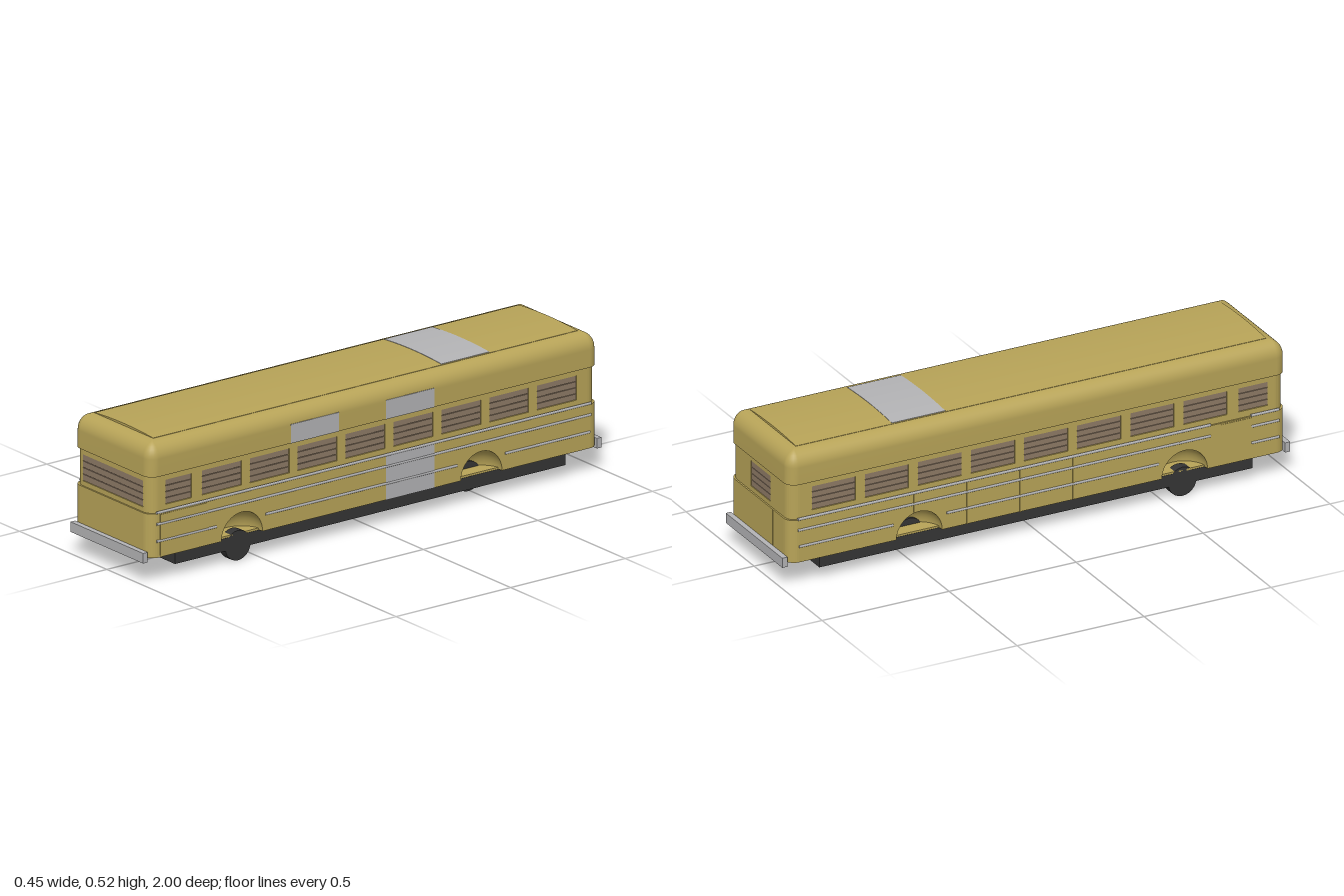
import * as THREE from 'three';

const mat = (name, color, side = THREE.FrontSide) => {
  const m = new THREE.MeshStandardMaterial({ color, side });
  m.name = name;
  return m;
};

export function createModel() {
  const bus = new THREE.Group();
  bus.name = 'bus';
  const paint = mat('mustardPaint', 0xb8a458, THREE.DoubleSide);
  const silver = mat('silverGrey', 0xb4b4b6);
  const slatBrown = mat('slatBrown', 0x8e7a66);
  const black = mat('chassisBlack', 0x353535);

  const add = (name, geo, material, x = 0, y = 0, z = 0, parent = bus) => {
    const m = new THREE.Mesh(geo, material);
    m.name = name;
    m.position.set(x, y, z);
    parent.add(m);
    return m;
  };
  // box given by its min and max on each axis
  const box = (name, material, x0, x1, y0, y1, z0, z1) =>
    add(name, new THREE.BoxGeometry(x1 - x0, y1 - y0, z1 - z0), material,
      (x0 + x1) / 2, (y0 + y1) / 2, (z0 + z1) / 2);

  const HW = 0.22, HL = 0.98, R = 0.04, T = 0.012;
  const BOTTOM = 0.093, BELT = 0.255, EAVE = 0.39;
  const ARCH_R = 0.09, arches = [0.578, -0.467];

  // window spans [z0, z1]: a short front one and eight equal ones
  const windows = [[0.794, 0.908]];
  for (let i = 0; i < 8; i++) windows.push([0.576 - i * 0.209, 0.748 - i * 0.209]);
  const WIN0 = 0.28, WIN1 = 0.37;

  // flat wall with rectangular holes and half-round notches in its lower edge
  function wall(name, half, y0, y1, holes, notches, angle, dist) {
    const s = new THREE.Shape();
    s.moveTo(-half, y0);
    [...notches].sort((a, b) => a - b).forEach(u => {
      s.lineTo(u - ARCH_R, y0);
      s.absarc(u, y0, ARCH_R, Math.PI, 0, true);
    });
    s.lineTo(half, y0);
    s.lineTo(half, y1);
    s.lineTo(-half, y1);
    s.closePath();
    holes.forEach(([a, b, c, d]) => {
      const h = new THREE.Path();
      h.moveTo(a, c); h.lineTo(a, d); h.lineTo(b, d); h.lineTo(b, c);
      h.closePath();
      s.holes.push(h);
    });
    const g = new THREE.ExtrudeGeometry(s, { depth: T, bevelEnabled: false, curveSegments: 20 });
    g.translate(0, 0, dist - T);
    add(name, g, paint).rotation.y = angle;
  }

  // one storey of the body: four walls and four rounded corners
  function storey(name, inset, y0, y1, glazed, notched) {
    const w = HW - inset, l = HL - inset;
    for (const s of [1, -1]) {
      const span = ([a, b]) => s > 0 ? [-b, -a, WIN0, WIN1] : [a, b, WIN0, WIN1];
      wall(name + 'Side', l - R, y0, y1, glazed ? windows.map(span) : [],
        notched ? arches.map(z => -s * z) : [], s * Math.PI / 2, w);
      const ww = s > 0 ? 0.172 : 0.072;
      wall(name + (s > 0 ? 'Front' : 'Rear'), w - R, y0, y1,
        glazed ? [[-ww, ww, 0.273, WIN1]] : [], [], s > 0 ? 0 : Math.PI, l);
      for (const e of [1, -1]) {
        const pts = [], n = 8;
        for (let i = 0; i <= n; i++) {
          const a = i / n * Math.PI / 2;
          pts.push(new THREE.Vector2(R * Math.cos(a), R * Math.sin(a)));
        }
        for (let i = n; i >= 0; i--) pts.push(pts[i].clone().multiplyScalar(1 - T / R));
        const shape = new THREE.Shape(pts.map(p => new THREE.Vector2(p.x * s, p.y * e)));
        const g = new THREE.ExtrudeGeometry(shape, { depth: y1 - y0, bevelEnabled: false });
        g.rotateX(-Math.PI / 2);
        add(name + 'Corner', g, paint, s * (w - R), y0, -e * (l - R));
      }
    }
  }
  storey('lowerBody', 0, BOTTOM, BELT, false, true);
  storey('windowBand', 0.006, BELT, EAVE, true, false);
  box('floor', paint, -0.2, 0.2, BOTTOM, 0.1, -0.97, 0.97);

  // louvre slats filling each window
  for (let i = 0; i < 4; i++) {
    const p = (WIN1 - WIN0) / 4, y = WIN0 + i * p;
    for (const s of [1, -1]) {
      windows.forEach(([a, b]) =>
        box('sideSlat', slatBrown, s * 0.208 - 0.003, s * 0.208 + 0.003, y + 0.001, y + p - 0.001, a, b));
      const w = s > 0 ? 0.172 : 0.072, q = (WIN1 - 0.273) / 4, yy = 0.273 + i * q;
      box(s > 0 ? 'frontSlat' : 'rearSlat', slatBrown, -w, w, yy + 0.001, yy + q - 0.001,
        s * 0.969 - 0.003, s * 0.969 + 0.003);
    }
  }

  // roof shell lofted through rounded rectangles [inset, y]
  function loft(name, levels) {
    const pos = [], idx = [], n = 7, count = n * 4;
    levels.forEach(([d, y]) => {
      const r = Math.max(R - d, 0.003), w = HW - d - r, l = HL - d - r;
      [[1, 1], [-1, 1], [-1, -1], [1, -1]].forEach(([sx, sz], c) => {
        for (let i = 0; i < n; i++) {
          const a = (c + i / (n - 1)) * Math.PI / 2;
          pos.push(sx * w + r * Math.cos(a), y, sz * l + r * Math.sin(a));
        }
      });
    });
    for (let j = 0; j < levels.length - 1; j++) {
      for (let i = 0; i < count; i++) {
        const a = j * count + i, b = j * count + (i + 1) % count;
        idx.push(a, a + count, b, b, a + count, b + count);
      }
    }
    const g = new THREE.BufferGeometry();
    g.setAttribute('position', new THREE.Float32BufferAttribute(pos, 3));
    g.setIndex(idx);
    g.computeVertexNormals();
    add(name, g, paint);
  }
  loft('roofLip', [[0.02, EAVE], [0, EAVE]]);
  const levels = [[0, EAVE], [0, 0.455]];
  for (let i = 1; i <= 8; i++) {
    const a = i / 8 * Math.PI / 2;
    levels.push([0.055 * (1 - Math.cos(a)), 0.455 + 0.059 * Math.sin(a)]);
  }
  loft('roofShell', levels);

  // shallow crown on the roof, and the grey patch that follows it
  function crown(name, material, hw, lift, z0, z1) {
    const s = new THREE.Shape(), top = x => 0.515 + lift + 0.007 * (1 - (x / 0.168) ** 2);
    s.moveTo(-hw, 0.508);
    s.lineTo(hw, 0.508);
    for (let i = 0; i <= 16; i++) s.lineTo(hw - i / 8 * hw, top(hw - i / 8 * hw));
    s.closePath();
    add(name, new THREE.ExtrudeGeometry(s, { depth: z1 - z0, bevelEnabled: false }), material, 0, 0, z0);
  }
  crown('roofCrown', paint, 0.168, 0, -0.926, 0.926);
  crown('roofPatch', silver, 0.164, 0.0015, -0.545, -0.335);

  // grey replacement panels on the left side
  box('upperPatch', silver, 0.218, 0.222, EAVE, 0.46, 0.155, 0.365);
  box('upperPatch', silver, 0.218, 0.222, EAVE, 0.46, -0.26, -0.05);
  box('lowerPatch', silver, 0.218, 0.222, BOTTOM, BELT, -0.26, -0.05);

  // driver's hatch on the left, passenger door and panel seams on the right
  box('driverHatch', paint, 0.218, 0.2215, 0.1, 0.25, 0.726, 0.935);
  box('passengerDoor', paint, -0.2215, -0.218, 0.097, 0.25, 0.72, 0.84);
  for (let i = 0; i < 7; i++) {
    const z = 0.557 - i * 0.209;
    const y0 = arches.some(a => Math.abs(a - z) < ARCH_R) ? 0.185 : BOTTOM;
    box('panelSeam', paint, -0.222, -0.218, y0, BELT, z - 0.002, z + 0.002);
  }
  box('rearSeam', paint, -0.102, -0.098, 0.12, BELT, -0.982, -0.978);

  // trim rails, broken at the wheel arches and at the passenger door
  const long = [[-0.945, 0.95]], broken = [[-0.94, -0.57], [-0.36, 0.475], [0.69, 0.95]];
  [[0.258, long], [0.216, long], [0.153, broken]].forEach(([y, spans]) => {
    for (const s of [1, -1]) {
      const parts = s > 0 ? spans
        : spans.flatMap(([a, b]) => b > 0.9 ? [[a, 0.68], [0.84, b]] : [[a, b]]).filter(([a, b]) => b > a);
      parts.forEach(([a, b]) => {
        const g = new THREE.CylinderGeometry(0.005, 0.005, b - a, 8);
        g.rotateX(Math.PI / 2);
        add('trimRail', g, silver, s * 0.219, y, (a + b) / 2);
      });
    }
  });

  // bumpers and chassis
  box('frontBumper', silver, -0.208, 0.208, 0.08, 0.117, 0.98, 1);
  box('rearBumper', silver, -0.208, 0.208, 0.08, 0.117, -1, -0.98);
  box('chassis', black, -0.2, 0.2, 0.045, 0.0925, -0.85, 0.855);

  // wheels with domed wheel wells
  for (const s of [1, -1]) {
    [[0.58, 0.055, 0.1825], [-0.467, 0.07, 0.1275]].forEach(([z, y, x], i) => {
      const g = new THREE.CylinderGeometry(0.055, 0.055, 0.035, 24);
      g.rotateZ(Math.PI / 2);
      add(i ? 'rearWheel' : 'frontWheel', g, black, s * x, y, z);
      const dome = new THREE.SphereGeometry(ARCH_R, 16, 10, -s * Math.PI / 2, Math.PI, 0, Math.PI / 2);
      add('wheelWell', dome, paint, s * (HW - 0.002), BOTTOM, arches[i]);
    });
  }
  return bus;
}
